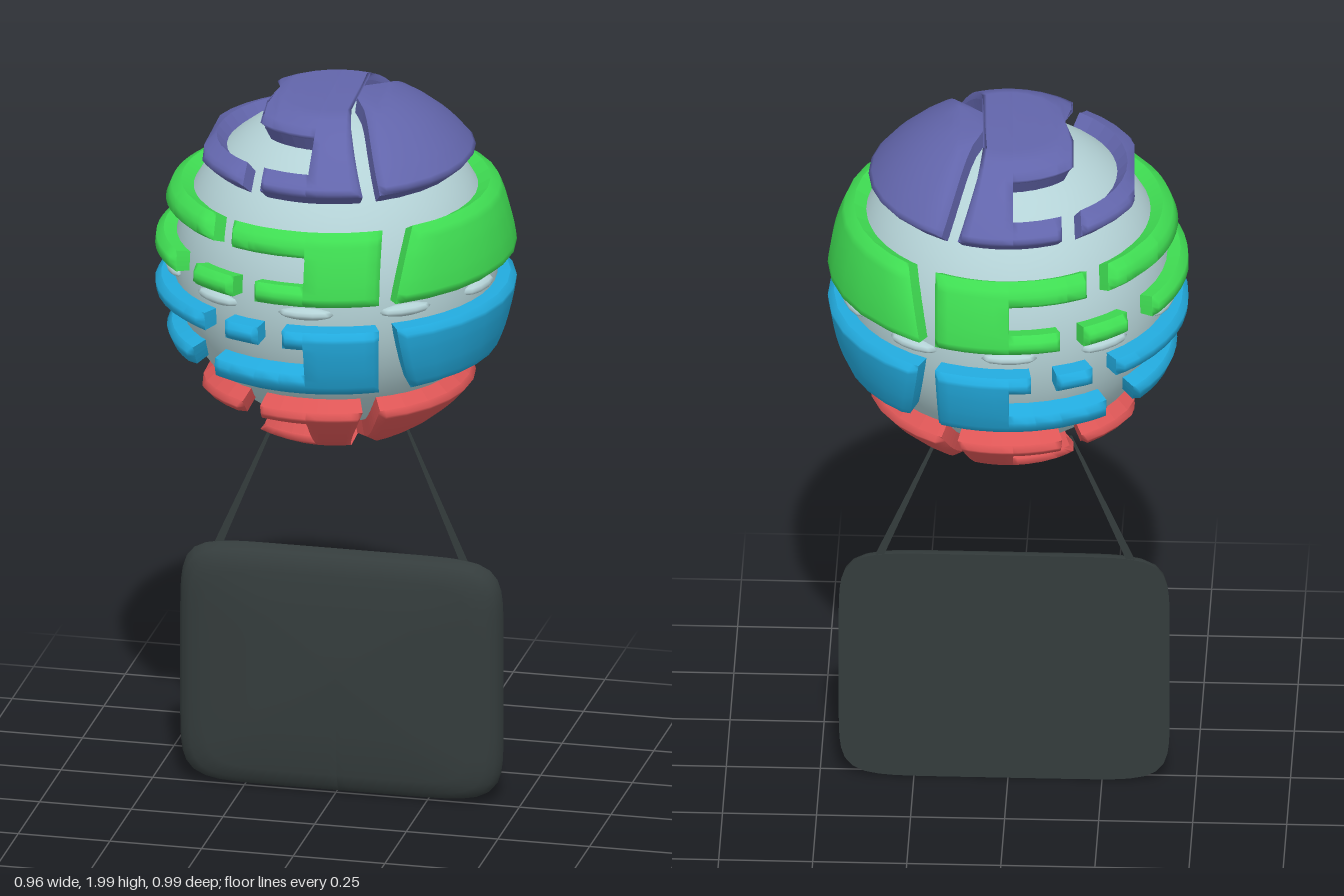
import * as THREE from 'three';

const mat = (name, color) => {
  const m = new THREE.MeshStandardMaterial({ color });
  m.name = name;
  return m;
};

const R = 0.5, INNER = 0.425, SX = 0.965, BEVEL = 0.018;
const lerp = THREE.MathUtils.lerp, clamp = THREE.MathUtils.clamp;

// One band of raised shell plates, built for the upper half of the ball.
// rows: [yLow, yHigh, [[from, to], ...]] from the equator outwards. Column keys:
// -1 = far left, x values between, 1 = right end of the main plate,
// 2 = left end of the side plate, 3 = far right.
function plateBand({ rows, b, c, xMin, lid }) {
  const y0 = rows[0][0], y1 = rows[rows.length - 1][1];
  const edges = rows.flatMap(r => r[2].flat()).filter(k => k > -1 && k < 1);
  const e = Math.min(...edges), m = Math.max(...edges);

  // Column keys, with extra lines beside every edge for the rounded rim
  const keys = [3, 2.8, 2.6, 2.4, 2.2, 2.04, 2, 1, 0.92];
  for (let i = 1; i < 5; i++) keys.push(lerp(m, 1, i / 5), lerp(e, m, i / 5));
  for (let i = 1; i <= 6; i++) keys.push(lerp(e, -1, i / 6));
  edges.forEach(k => keys.push(k, k - 0.013, k + 0.013));
  const cols = [...new Set(keys.map(k => +k.toFixed(4)))].sort((p, q) => q - p);
  const N = cols.length, M = 2 * N - 2;
  const front = j => (j < N ? j : M - j);

  // Row heights
  const ys = [];
  rows.forEach(([p, q]) => ys.push(p, p + 0.014, (p + q) / 2, q - 0.014));
  ys.push(y1);

  const theta = (k, y) => {
    const t = (y - y0) / (y1 - y0), r = Math.sqrt(R * R - y * y) * SX;
    const ang = x => Math.acos(clamp(x / r, -1, 1));
    const bx = lerp(b[0], b[1], t), cx = lerp(c[0], c[1], t);
    if (k >= 2) return (3 - k) * ang(cx);
    if (k > m) return ang(lerp(m, bx, (k - m) / (1 - m)));
    if (k >= e) return ang(k);
    return Math.PI - (k + 1) / (e + 1) * (Math.PI - ang(e));
  };
  const filled = (i, j) => {
    if (i < 0 || i >= ys.length - 1) return false;
    const f = front((j + M) % M), g = front((j + 1 + M) % M);
    const k = (cols[f] + cols[g]) / 2, y = (ys[i] + ys[i + 1]) / 2;
    if (k > 2) return true;
    const row = rows.find(r => y > r[0] && y < r[1]);
    return row[2].some(([p, q]) => k > p && k < q);
  };

  const pos = [], idx = [];
  const last = ys.length - 1;
  // Outer surface points, lowered along the rim
  ys.forEach((y, i) => {
    for (let j = 0; j < M; j++) {
      const up = lid && i === last ? i - 1 : i;
      const inside = filled(up, j) && filled(up, j - 1) && filled(i - 1, j) && filled(i - 1, j - 1);
      const rad = inside ? R : R - BEVEL, ring = Math.sqrt(Math.max(rad * rad - y * y, 0));
      const a = theta(cols[front(j)], y) * (j < N ? 1 : -1);
      pos.push(Math.max(Math.cos(a) * ring * SX, xMin), y, Math.sin(a) * ring);
    }
  });
  const at = (i, j) => i * M + (j + M) % M;
  const quad = (p, q, r, s) => idx.push(p, q, r, p, r, s);
  const point = n => new THREE.Vector3().fromArray(pos, n * 3);
  const wall = (p, q) => {
    const P = point(p), Q = point(q), n = pos.length / 3;
    [Q, P, P.clone().setLength(INNER), Q.clone().setLength(INNER)].forEach(v => pos.push(v.x, v.y, v.z));
    quad(n, n + 1, n + 2, n + 3);
  };
  for (let i = 0; i < last; i++) for (let j = 0; j < M; j++) {
    if (!filled(i, j)) continue;
    const A = at(i, j), B = at(i + 1, j), C = at(i + 1, j + 1), D = at(i, j + 1);
    quad(A, B, C, D);
    if (!filled(i, j - 1)) wall(A, B);
    if (!filled(i + 1, j) && !(lid && i + 1 === last)) wall(B, C);
    if (!filled(i, j + 1)) wall(C, D);
    if (!filled(i - 1, j)) wall(D, A);
  }
  // Flat cap joining front and back over the pole
  if (lid) for (let j = 0; j < N - 1; j++) {
    if (!filled(last - 1, j)) continue;
    const F = at(last, j), B = at(last, M - j), F2 = at(last, j + 1), B2 = at(last, M - j - 1);
    quad(F, B, B2, F2);
    if (j > 0 && !filled(last - 1, j - 1)) wall(F, B);
    if (j < N - 2 && !filled(last - 1, j + 1)) wall(B2, F2);
  }
  const g = new THREE.BufferGeometry();
  g.setAttribute('position', new THREE.Float32BufferAttribute(pos, 3));
  g.setIndex(idx);
  g.computeVertexNormals();
  return g;
}

export function createModel() {
  const model = new THREE.Group();
  const pale = mat('paleGrey', 0xb4d2d6), dark = mat('charcoal', 0x343c3c);
  dark.side = THREE.DoubleSide;
  const add = (parent, name, geo, material) => {
    const mesh = new THREE.Mesh(geo, material);
    mesh.name = name;
    parent.add(mesh);
    return mesh;
  };

  // Ball with its plates
  const ball = new THREE.Group();
  ball.name = 'ball';
  ball.position.y = 1.525;
  ball.rotation.y = 0.045;
  model.add(ball);
  add(ball, 'core', new THREE.SphereGeometry(0.437, 48, 32), pale).scale.x = 0.985;

  // Small studs round the equator
  for (let i = 0; i < 10; i++) {
    const a = i * Math.PI / 5;
    const stud = add(ball, 'equatorStud', new THREE.SphereGeometry(1, 10, 6), pale);
    stud.scale.set(0.075, 0.017, 0.025);
    stud.position.set(Math.sin(a) * 0.43, 0, Math.cos(a) * 0.435);
    stud.rotation.y = a;
  }

  const capRows = [
    [0.305, 0.353, [[-1, -0.205], [-0.15, 1]]],
    [0.353, 0.42, [[-0.012, 1]]],
    [0.42, 0.475, [[-0.185, 1]]],
  ];
  const cap = { rows: capRows, b: [0.145, 0.075], c: [0.19, 0.125], xMin: -0.335, lid: true };
  const upper = {
    rows: [
      [0.035, 0.089, [[-1, -0.395], [-0.325, -0.205], [-0.14, 1]]],
      [0.089, 0.163, [[0, 1]]],
      [0.163, 0.227, [[-1, -0.275], [-0.215, 1]]],
    ],
    b: [0.205, 0.205], c: [0.247, 0.28], xMin: -0.478,
  };
  const lower = {
    rows: [
      [0.038, 0.09, [[-1, -0.295], [-0.23, -0.13], [-0.06, 1]]],
      [0.09, 0.17, [[0, 1]]],
      [0.17, 0.232, [[-1, -0.345], [-0.27, 1]]],
    ],
    b: [0.205, 0.195], c: [0.25, 0.275], xMin: -0.478,
  };
  add(ball, 'topPlates', plateBand(cap), mat('purple', 0x6265ab));
  add(ball, 'upperPlates', plateBand(upper), mat('green', 0x3fdc52));
  add(ball, 'lowerPlates', plateBand(lower), mat('blue', 0x22aadd)).rotation.x = Math.PI;
  add(ball, 'bottomPlates', plateBand(cap), mat('red', 0xdd5656)).rotation.x = Math.PI;

  // Hanging panel: flat back, cushioned front, bowed outline
  const profile = [[0, -0.03], [1, -0.03], [1, -0.03], [0.995, -0.012], [0.97, 0.008], [0.92, 0.024],
    [0.82, 0.036], [0.5, 0.046], [0, 0.05]].map(p => new THREE.Vector2(...p));
  const panel = new THREE.LatheGeometry(profile, 96).rotateX(Math.PI / 2);
  const p = panel.attributes.position;
  for (let i = 0; i < p.count; i++) {
    const x = p.getX(i), y = p.getY(i), s = Math.hypot(x, y);
    if (s < 1e-6) continue;
    const u = x / s, v = y / s;
    const k = s / Math.pow(Math.abs(u) ** 8 + Math.abs(v) ** 8, 1 / 8);
    p.setXY(i, u * k * 0.44, v * k * 0.34);
  }
  panel.computeVertexNormals();
  add(model, 'panel', panel, dark).position.set(0.01, 0.35, 0);

  // Flat tapering straps
  for (const side of [-1, 1]) {
    const strap = new THREE.Shape([
      new THREE.Vector2(side * 0.17, 1.06), new THREE.Vector2(side * 0.178, 1.06),
      new THREE.Vector2(side * 0.36, 0.65), new THREE.Vector2(side * 0.335, 0.65),
    ]);
    add(model, side < 0 ? 'rightStrap' : 'leftStrap', new THREE.ShapeGeometry(strap), dark)
      .position.set(0.008, 0, -0.028);
  }
  return model;
}
